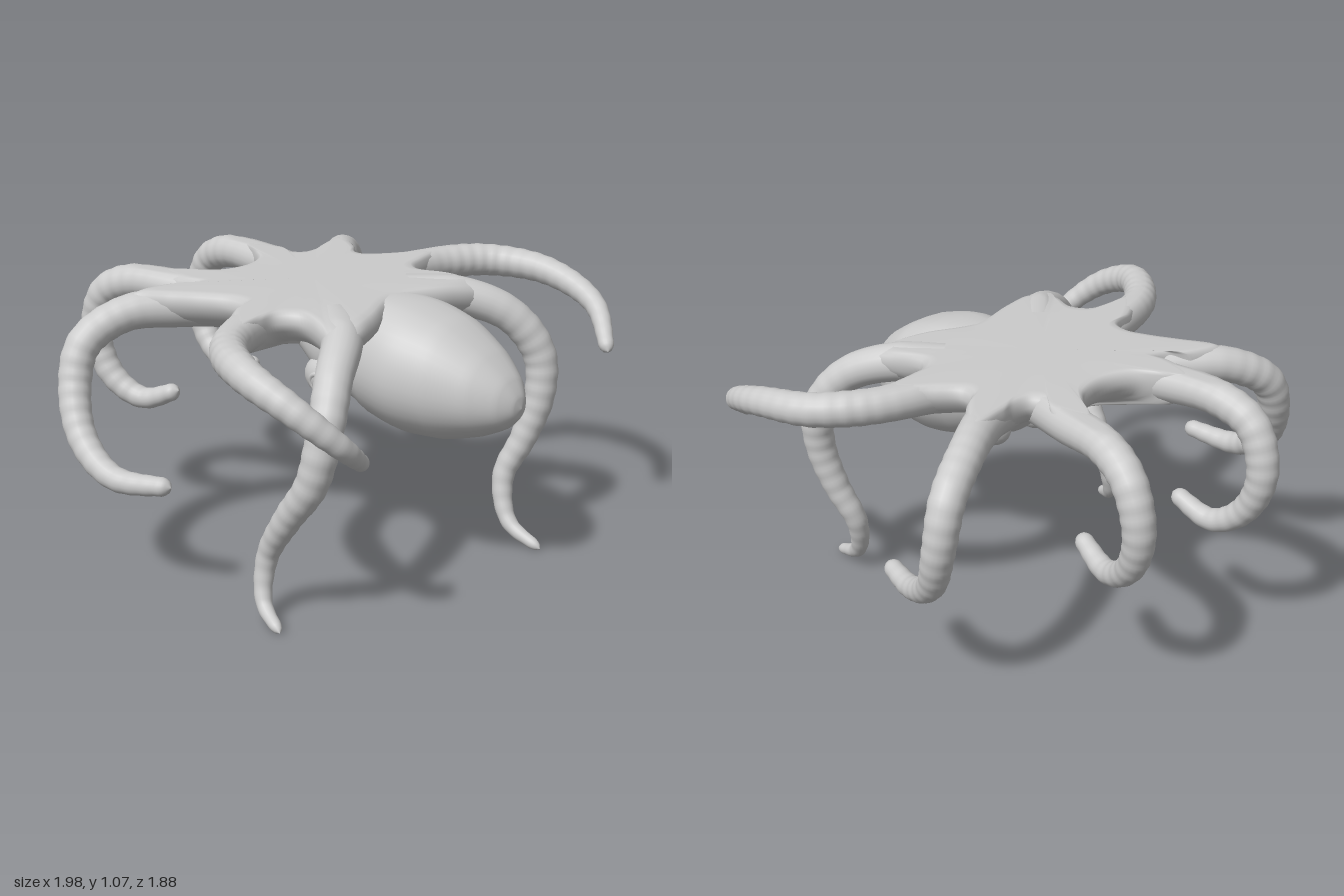
import * as THREE from 'three';

const V = (x, y, z) => new THREE.Vector3(x, y, z);
const material = new THREE.MeshStandardMaterial({ color: 0xcccccc });
const TOP = 1.08; // height of the flat web

// Smooth skin over a list of closed rings with equal point counts
function loft(name, rings) {
  const n = rings[0].length, index = [];
  for (let i = 0; i < rings.length - 1; i++) {
    for (let j = 0; j < n; j++) {
      const k = (j + 1) % n, a = i * n + j, b = i * n + k, c = a + n, d = b + n;
      index.push(a, b, c, b, d, c);
    }
  }
  const g = new THREE.BufferGeometry().setFromPoints(rings.flat());
  g.setIndex(index);
  g.computeVertexNormals();
  const mesh = new THREE.Mesh(g, material);
  mesh.name = name;
  return mesh;
}

// Tapering arm with faint ripples and a rounded tip
function arm(name, path, tip) {
  const curve = new THREE.CatmullRomCurve3(path.map(p => V(...p)));
  const steps = 110, sides = 20;
  const frames = curve.computeFrenetFrames(steps);
  const rings = [];
  for (let i = 0; i <= steps; i++) {
    const t = i / steps, p = curve.getPointAt(t);
    let r = t < 0.3 ? THREE.MathUtils.lerp(0.085, 0.068, t / 0.3)
      : THREE.MathUtils.lerp(0.068, tip, Math.pow((t - 0.3) / 0.7, 1.7));
    r *= 1 + 0.022 * Math.sin(t * 150) * THREE.MathUtils.smoothstep(t, 0.2, 0.4);
    const e = Math.max(0, (t - 0.97) / 0.03);
    r *= Math.sqrt(Math.max(0, 1 - e * e));
    const ring = [];
    for (let j = 0; j < sides; j++) {
      const a = j / sides * Math.PI * 2;
      const q = p.clone().addScaledVector(frames.normals[i], r * Math.cos(a))
        .addScaledVector(frames.binormals[i], r * Math.sin(a));
      q.y = Math.min(q.y, TOP - 0.001);
      ring.push(q);
    }
    rings.push(ring);
  }
  return loft(name, rings);
}

// Flat-topped web: outline of x, z and edge drop, with points that sink into the arms
function web() {
  const outline = [
    [0.45, -0.07], [0.53, 0.015], [0.68, 0.135], [0.54, 0.165], [0.44, 0.185], [0.385, 0.25],
    [0.44, 0.41, 0.015], [0.435, 0.525, 0.05], [0.345, 0.515, 0.03], [0.22, 0.475, 0.01], [0, 0.395, 0.005],
    [-0.25, 0.47, 0.01], [-0.4, 0.505, 0.02], [-0.52, 0.495, 0.06], [-0.465, 0.385, 0.015],
    [-0.42, 0.26], [-0.47, 0.185], [-0.56, 0.175], [-0.7, 0.175], [-0.54, 0.035], [-0.43, 0],
    [-0.41, -0.09], [-0.45, -0.2], [-0.505, -0.305], [-0.57, -0.44], [-0.42, -0.41], [-0.36, -0.345],
    [-0.31, -0.345], [-0.315, -0.43], [-0.275, -0.6], [-0.185, -0.46], [-0.12, -0.39], [0, -0.355],
    [0.13, -0.39], [0.2, -0.46], [0.29, -0.6], [0.33, -0.43], [0.29, -0.35], [0.32, -0.295],
    [0.39, -0.285], [0.463, -0.305], [0.63, -0.33], [0.535, -0.19], [0.46, -0.13],
  ];
  const edge = new THREE.CatmullRomCurve3(outline.map(([x, z, drop = 0]) => V(x, -drop, z)), true)
    .getPoints(300).slice(0, -1);
  const profile = [
    [0, TOP], [0.5, TOP], [0.86, TOP], [0.93, TOP - 0.003], [0.98, 1.065], [1, 1.035],
    [0.98, 1.005], [0.92, 0.975], [0.8, 0.945], [0.6, 0.92], [0.4, 0.895], [0.2, 0.855], [0, 0.82],
  ];
  return loft('web', profile.map(([s, y]) => edge.map(
    p => V(p.x * s, y + p.y * THREE.MathUtils.smoothstep(s, 0.8, 1), p.z * s))));
}

// Head and sac-like mantle: z, centre height, half width, half height
function mantle() {
  const sections = [
    [-0.25, 0.99, 0.03, 0.04], [-0.1, 0.96, 0.1, 0.08], [0.03, 0.9, 0.14, 0.125],
    [0.12, 0.865, 0.165, 0.17], [0.2, 0.855, 0.18, 0.185], [0.28, 0.845, 0.195, 0.205],
    [0.36, 0.84, 0.235, 0.235], [0.5, 0.82, 0.262, 0.245],
    [0.65, 0.8, 0.238, 0.224], [0.8, 0.775, 0.175, 0.16], [0.89, 0.757, 0.105, 0.097],
    [0.93, 0.748, 0.045, 0.042], [0.94, 0.745, 0, 0],
  ];
  const centres = new THREE.CatmullRomCurve3(sections.map(s => V(0, s[1], s[0])));
  const radii = new THREE.CatmullRomCurve3(sections.map(s => V(s[2], s[3], 0)));
  const rings = [];
  for (let i = 0; i <= 72; i++) {
    const c = centres.getPoint(i / 72), r = radii.getPoint(i / 72), ring = [];
    for (let j = 0; j < 40; j++) {
      // Upper half is fuller at the shoulders
      const a = j / 40 * Math.PI * 2, u = Math.cos(a), v = Math.sin(a);
      const x = v > 0 ? Math.sign(u) * Math.pow(Math.abs(u), 0.75) : u;
      ring.push(V(r.x * x, Math.min(c.y + r.y * v, TOP - 0.004), c.z));
    }
    rings.push(ring);
  }
  return loft('mantle', rings);
}

function ball(name, position, scale) {
  const m = new THREE.Mesh(new THREE.SphereGeometry(1, 28, 18), material);
  m.name = name;
  m.position.set(...position);
  m.scale.set(...scale);
  return m;
}

// Bulging eye with a soft lid ring
function eye(side) {
  const g = new THREE.Group();
  g.name = side > 0 ? 'leftEye' : 'rightEye';
  g.add(ball('eyeBulge', [0, 0, 0], [0.1, 0.085, 0.07]));
  const lid = new THREE.Mesh(new THREE.TorusGeometry(0.036, 0.011, 10, 28), material);
  lid.name = 'eyeLid';
  lid.position.z = 0.058;
  g.add(lid, ball('eyeball', [0, 0, 0.05], [0.03, 0.03, 0.022]));
  g.position.set(side * 0.12, 0.745, 0.16);
  g.lookAt(side * 1.1, 0.5, 0.1);
  return g;
}

export function createModel() {
  const model = new THREE.Group();
  model.name = 'octopus';
  model.add(web(), mantle());

  // Eyes and the gill folds behind them
  for (const s of [1, -1]) {
    model.add(eye(s));
    const fold = ball(s > 0 ? 'leftGillFold' : 'rightGillFold', [s * 0.165, 0.85, 0.37], [0.06, 0.07, 0.13]);
    fold.rotation.x = -0.4;
    model.add(fold);
  }

  // Rear arms: run straight back, then curl under
  model.add(arm('rearLeftArm', [[0.2, 1, -0.22], [0.27, 1.015, -0.45], [0.31, 1.015, -0.68],
    [0.34, 0.95, -0.82], [0.345, 0.77, -0.882], [0.325, 0.6, -0.82], [0.295, 0.515, -0.68], [0.25, 0.57, -0.49]], 0.033));
  model.add(arm('rearRightArm', [[-0.19, 1, -0.22], [-0.25, 1.015, -0.45], [-0.28, 1.015, -0.68],
    [-0.3, 0.95, -0.82], [-0.3, 0.77, -0.88], [-0.29, 0.6, -0.81], [-0.26, 0.52, -0.68], [-0.235, 0.58, -0.5]], 0.033));

  // Back side arms: reach out, drop and turn forward
  model.add(arm('backLeftArm', [[0.26, 1, -0.15], [0.47, 1.01, -0.23], [0.68, 0.99, -0.36],
    [0.83, 0.9, -0.44], [0.875, 0.72, -0.44], [0.85, 0.54, -0.36], [0.81, 0.445, -0.2], [0.765, 0.445, -0.01]], 0.033));
  model.add(arm('backRightArm', [[-0.26, 1, -0.18], [-0.42, 1, -0.33], [-0.58, 0.99, -0.45],
    [-0.73, 0.9, -0.52], [-0.8, 0.75, -0.51], [-0.86, 0.58, -0.42], [-0.885, 0.475, -0.25], [-0.845, 0.48, 0]], 0.033));

  // Middle arms: wide arcs sweeping forward
  model.add(arm('middleLeftArm', [[0.25, 1, 0.05], [0.47, 1.015, 0.08], [0.7, 1.015, 0.14],
    [0.87, 1.01, 0.27], [0.935, 0.985, 0.5], [0.89, 0.9, 0.74], [0.745, 0.76, 0.89]], 0.028));
  model.add(arm('middleRightArm', [[-0.28, 1, 0.07], [-0.52, 1.015, 0.1], [-0.75, 1.015, 0.2],
    [-0.915, 1.01, 0.41], [-0.92, 0.93, 0.61], [-0.82, 0.8, 0.735], [-0.66, 0.68, 0.72]], 0.028));

  // Front arms: hang down to the ground with a final outward flick
  model.add(arm('frontLeftArm', [[0.22, 1, 0.24], [0.36, 1, 0.42], [0.48, 0.925, 0.59],
    [0.55, 0.77, 0.69], [0.545, 0.6, 0.705], [0.51, 0.42, 0.66], [0.46, 0.26, 0.605], [0.42, 0.09, 0.66], [0.4, 0.016, 0.82]], 0.02));
  model.add(arm('frontRightArm', [[-0.22, 1, 0.25], [-0.4, 1, 0.43], [-0.57, 0.925, 0.52],
    [-0.68, 0.77, 0.565], [-0.71, 0.58, 0.53], [-0.705, 0.42, 0.42], [-0.69, 0.24, 0.315], [-0.73, 0.08, 0.33], [-0.79, 0.016, 0.45]], 0.02));
  return model;
}
